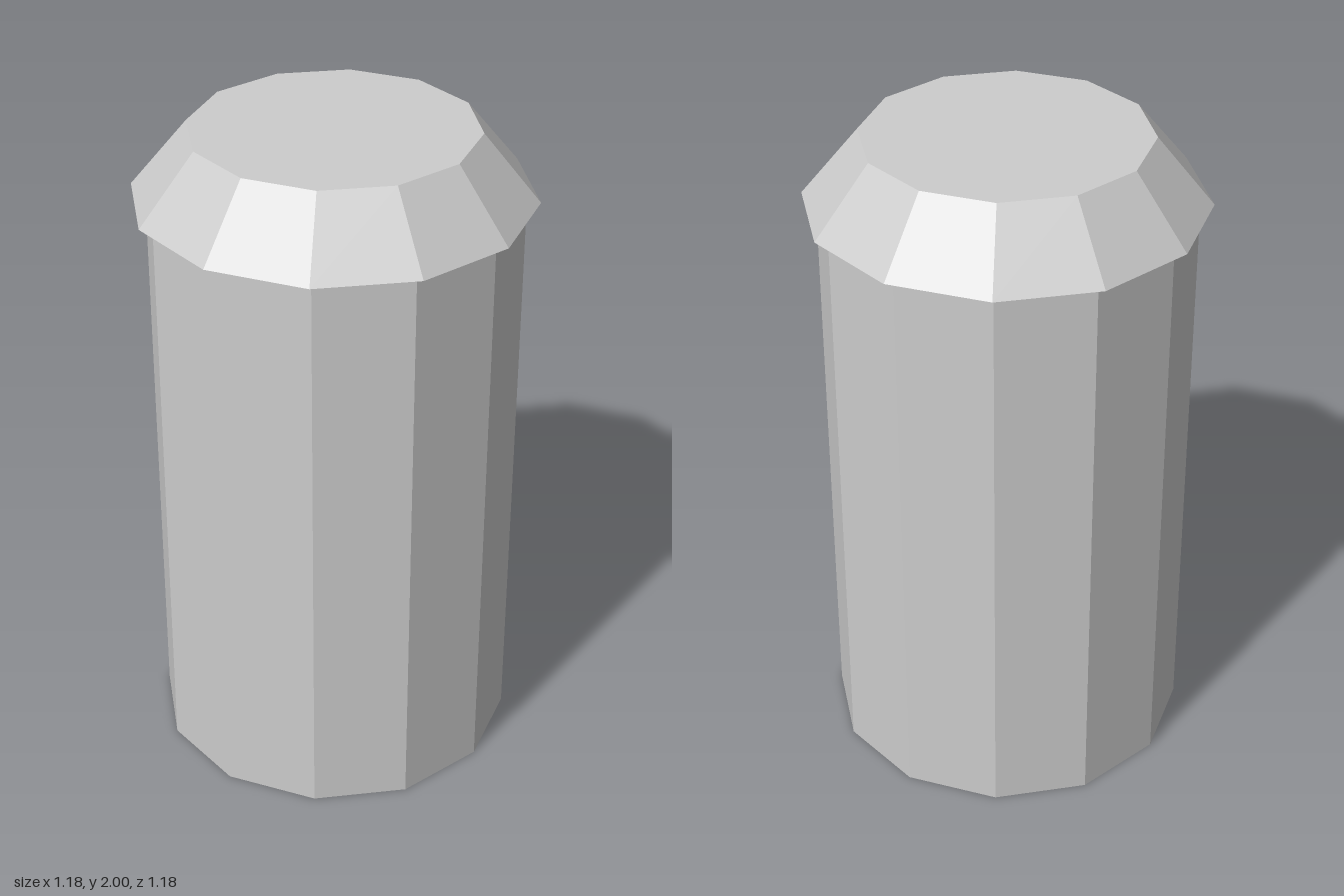
import * as THREE from 'three';

const SIDES = 12;

export function createModel() {
  const group = new THREE.Group();
  group.name = 'bollard';
  const grey = new THREE.MeshStandardMaterial({ color: 0xcccccc, flatShading: true });
  grey.name = 'light grey';

  // Faceted drum with its base at y = bottom
  const addDrum = (name, topRadius, bottomRadius, bottom, top) => {
    const geometry = new THREE.CylinderGeometry(topRadius, bottomRadius, top - bottom, SIDES);
    const mesh = new THREE.Mesh(geometry, grey);
    mesh.name = name;
    mesh.position.y = (bottom + top) / 2;
    group.add(mesh);
  };

  // Straight post and the overhanging tapered cap
  addDrum('post', 0.55, 0.55, 0, 1.795);
  addDrum('cap', 0.422, 0.59, 1.795, 2);

  return group;
}
